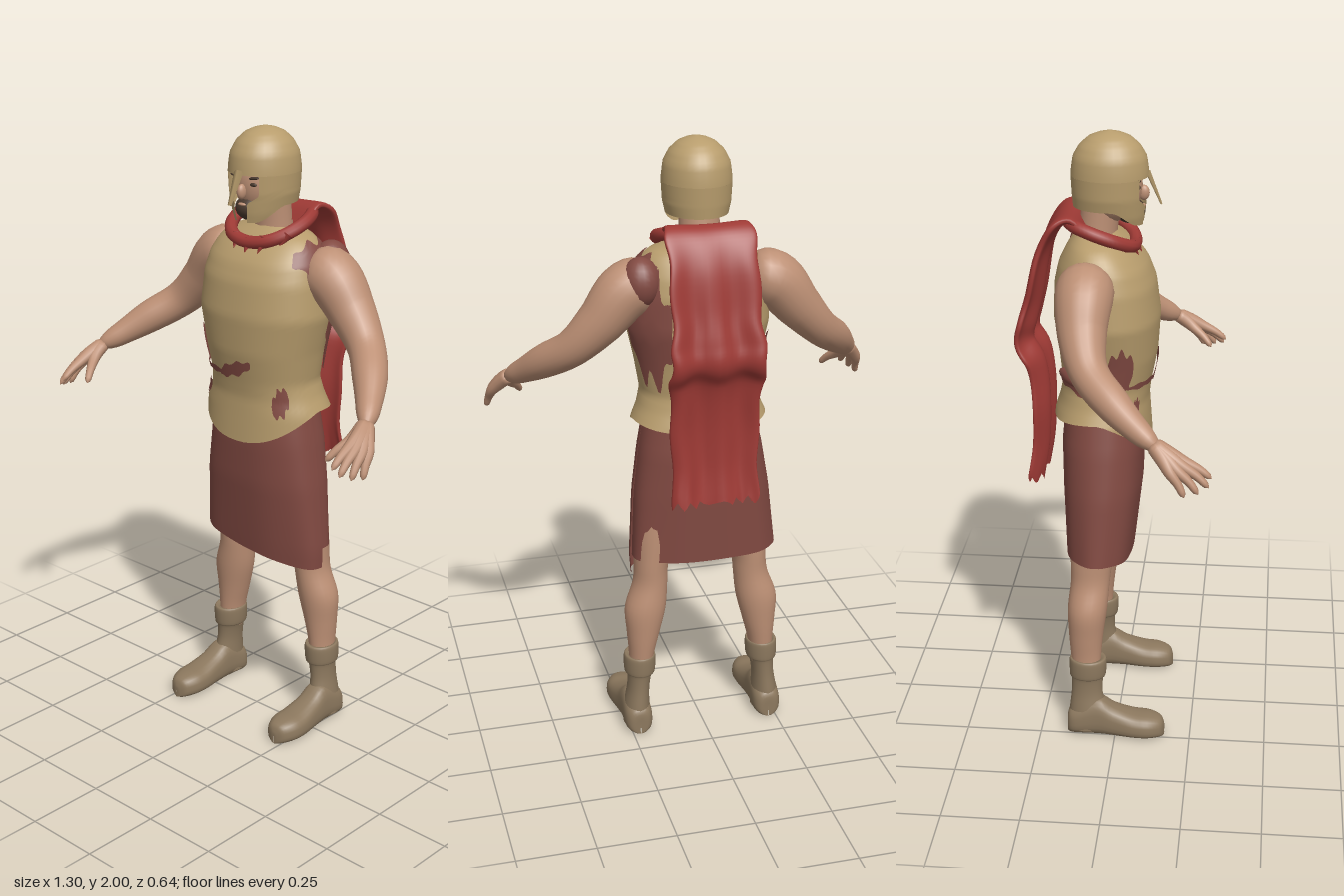
import * as THREE from 'three';

const material = (name, color, side = THREE.FrontSide) => {
  const m = new THREE.MeshStandardMaterial({ color, side });
  m.name = name;
  return m;
};
const armour = material('tan armour', 0xb89d6d, THREE.DoubleSide);
const skin = material('skin', 0xbd9075);
const cloth = material('brown red cloth', 0x824a42, THREE.DoubleSide);
const red = material('red cape', 0x9e3a35, THREE.DoubleSide);
const leather = material('boot leather', 0x8c785e);
const dark = material('dark hair', 0x4a3a2f);

const TAU = Math.PI * 2;
const mix = THREE.MathUtils.lerp, smooth = THREE.MathUtils.smoothstep;
const sPow = (v, p) => Math.sign(v) * Math.abs(v) ** p;

// Smooth interpolation through rows of numbers, t from 0 to 1
function spline(rows, t) {
  const n = rows.length - 1, f = Math.min(t, 1) * n, i = Math.min(Math.floor(f), n - 1), k = f - i;
  const p = (j) => rows[Math.max(0, Math.min(n, j))];
  return rows[0].map((_, c) => {
    const [a, b, d, e] = [p(i - 1)[c], p(i)[c], p(i + 1)[c], p(i + 2)[c]];
    return b + 0.5 * k * (d - a + k * (2 * a - 5 * b + 4 * d - e + k * (3 * (b - d) + e - a)));
  });
}

// Rows looked up by their first value (height), linear
function atHeight(rows, y) {
  let i = 0;
  while (i < rows.length - 2 && y > rows[i + 1][0]) i++;
  const k = THREE.MathUtils.clamp((y - rows[i][0]) / (rows[i + 1][0] - rows[i][0]), 0, 1);
  return rows[i].map((v, c) => mix(v, rows[i + 1][c], k));
}

// Surface from a rule (u, v) => [x, y, z]; u may wrap round
function loft(fn, nu, nv, closed = true) {
  const cols = closed ? nu : nu + 1, pos = [], idx = [];
  for (let j = 0; j <= nv; j++) for (let i = 0; i < cols; i++) pos.push(...fn(i / nu, j / nv));
  for (let j = 0; j < nv; j++) for (let i = 0; i < nu; i++) {
    const a = j * cols + i, b = j * cols + ((i + 1) % cols);
    idx.push(a, b, b + cols, a, b + cols, a + cols);
  }
  const g = new THREE.BufferGeometry();
  g.setAttribute('position', new THREE.Float32BufferAttribute(pos, 3));
  g.setIndex(idx);
  g.computeVertexNormals();
  return g;
}

// Upright stack of ellipses: [y, cx, cz, rx, rz] from bottom to top
const stack = (rows, s = 1, nv = 24) => loft((u, v) => {
  const [y, cx, cz, rx, rz] = spline(rows, v);
  return [s * cx + rx * Math.sin(u * TAU), y, cz + rz * Math.cos(u * TAU)];
}, 24, nv);

// Round-ended limb along points [x, y, z, r]
function limb(rows, s = 1, nu = 16, nv = 28) {
  const curve = new THREE.CatmullRomCurve3(rows.map(([x, y, z]) => new THREE.Vector3(s * x, y, z)));
  const { normals, binormals } = curve.computeFrenetFrames(nv);
  return loft((u, v) => {
    const j = Math.round(v * nv), p = curve.getPointAt(v);
    const end = 1 - Math.min(1, Math.min(v, 1 - v) * 9);
    const r = spline(rows, curve.getUtoTmapping(v))[3] * Math.sqrt(1 - end * end);
    p.addScaledVector(normals[j], r * Math.cos(u * TAU)).addScaledVector(binormals[j], r * Math.sin(u * TAU));
    return p.toArray();
  }, nu, nv);
}

// Cuirass: [y, half width, front z, back z]
const chest = [[1.0, 0.228, 0.1, -0.215], [1.1, 0.222, 0.093, -0.213], [1.15, 0.2, 0.09, -0.197],
  [1.2, 0.187, 0.097, -0.187], [1.3, 0.203, 0.116, -0.197], [1.42, 0.23, 0.124, -0.213], [1.53, 0.222, 0.109, -0.21],
  [1.59, 0.208, 0.085, -0.197], [1.63, 0.19, 0.052, -0.178], [1.66, 0.163, 0.02, -0.16], [1.69, 0.09, -0.015, -0.135]];
function chestPoint(a, y, off = 0) {
  const [, rx, zf, zb] = atHeight(chest, y), c = Math.cos(a);
  const cz = (zf + zb) / 2, rz = (zf - zb) / 2 + off;
  return [(rx + off) * sPow(Math.sin(a), 0.9), y, cz + rz * sPow(c, 0.9)];
}
const chestHem = (a) => {
  const c = Math.cos(a);
  return c > 0 ? 1.11 - 0.11 * c ** 1.5 : 1.11 - 0.02 * c * c;
};

// Ragged cloth patch lying on the cuirass
const patch = ([a0, a1, y, h, slant = 0]) => loft((u, v) => {
  const w = h * Math.sin(Math.PI * mix(0.04, 0.96, u)) ** 0.5 * (1 + 0.25 * Math.sin(u * 17 + a0 * 9));
  return chestPoint(mix(a0, a1, u), y + slant * (u - 0.5) + (v - 0.5) * w, 0.007);
}, 20, 8, false);

const helmet = [[1.7, 0.075, 0.105], [1.74, 0.092, 0.112], [1.8, 0.106, 0.118], [1.87, 0.11, 0.122],
  [1.92, 0.104, 0.115], [1.955, 0.086, 0.095], [1.98, 0.06, 0.067], [1.993, 0.032, 0.036], [2.0, 0, 0]];
const helmetPoint = (a, y) => {
  const [, rx, rz] = atHeight(helmet, y);
  return [rx * Math.sin(a), y, -0.037 + rz * Math.cos(a)];
};

export function createModel() {
  const model = new THREE.Group();
  const add = (name, geometry, mat, parent = model) => {
    const m = new THREE.Mesh(geometry, mat);
    m.name = name;
    parent.add(m);
    return m;
  };
  const ball = (name, mat, [x, y, z], [rx, ry, rz]) => {
    const m = add(name, new THREE.SphereGeometry(1, 20, 14), mat);
    m.position.set(x, y, z);
    m.scale.set(rx, ry, rz);
    return m;
  };

  // Head and face
  ball('head', skin, [0, 1.83, -0.03], [0.085, 0.115, 0.095]);
  add('neck', stack([[1.6, 0, -0.075, 0.075, 0.07], [1.68, 0, -0.075, 0.066, 0.062], [1.8, 0, -0.06, 0.062, 0.062]]), skin);
  ball('beard', dark, [0, 1.752, 0.025], [0.052, 0.04, 0.048]);
  ball('mouth', skin, [0, 1.768, 0.066], [0.016, 0.005, 0.008]);
  ball('nose', skin, [0, 1.808, 0.068], [0.013, 0.024, 0.018]);
  for (const s of [-1, 1]) {
    ball('eye', dark, [s * 0.036, 1.832, 0.055], [0.015, 0.006, 0.006]);
    ball('eyebrow', dark, [s * 0.038, 1.852, 0.054], [0.022, 0.005, 0.008]).rotation.z = s * 0.15;
  }

  // Helmet: dome, cheek and neck guard, nose guard
  add('helmetDome', loft((u, v) => helmetPoint(u * TAU, mix(1.862, 2, 1 - (1 - v) ** 2)), 32, 16), armour);
  add('helmetGuard', loft((u, v) => {
    const gap = mix(0.64, 0.27, smooth(1 - v, 0.4, 0.62));
    const a = mix(gap, TAU - gap, u);
    const low = 1.765 - 0.052 * smooth(Math.cos(a), 0.1, 0.9);
    return helmetPoint(a, mix(low, 1.862, v));
  }, 44, 16, false), armour);
  const guard = add('noseGuard', new THREE.CylinderGeometry(0.02, 0.008, 0.11, 4), armour);
  guard.scale.z = 0.4;
  guard.position.set(0, 1.824, 0.101);
  guard.rotation.x = -0.4;

  // Cuirass and the cloth showing through it
  add('cuirass', loft((u, v) => chestPoint(u * TAU, mix(chestHem(u * TAU), 1.69, v)), 56, 44), armour);
  [[1.75, 2.65, 1.42, 0.34], [0.95, 2.3, 1.61, 0.09], [-2.75, -1.05, 1.235, 0.07], [-1.5, -1.0, 1.29, 0.13],
    [-1.1, -0.1, 1.225, 0.02], [-0.28, 0.32, 1.245, 0.045, 0.05], [0.62, 0.98, 1.15, 0.08, 0.05],
    [-0.88, -0.68, 1.15, 0.06], [-2.3, -1.7, 1.34, 0.08]].forEach((p) => add('clothPatch', patch(p), cloth));
  ball('tornSleeve', cloth, [0.2, 1.575, -0.125], [0.062, 0.08, 0.066]);
  add('sash', limb([[-1.2, 1.235, 0.01], [-1.6, 1.24, 0.02], [-2.1, 1.25, 0.024], [-2.7, 1.25, 0.015]].map(
    ([a, y, r]) => [...chestPoint(a, y, 0.006), r])), cloth);

  // Wrapped skirt with a slit on the left side
  const skirtRows = [[0.55, 0.24, 0.035, -0.173], [0.63, 0.243, 0.045, -0.177], [0.85, 0.226, 0.07, -0.187],
    [1.0, 0.204, 0.076, -0.19], [1.16, 0.172, 0.07, -0.175]];
  add('skirt', loft((u, v) => {
    const a = Math.PI / 2 + u * TAU, front = u > 0.5;
    const hem = front ? 0.597 - 0.137 * 0.24 * Math.sin(a) : 0.63;
    const y = mix(hem, 1.16, v), [, rx, zf, zb] = atHeight(skirtRows, y);
    const fold = 1 + 0.014 * (1 - v) * Math.sin(a * 7) + (front ? 0.02 * (1 - v) * smooth(u, 0.9, 1) : 0);
    return [-0.012 * (1 - v) + rx * fold * sPow(Math.sin(a), 0.85), y,
      (zf + zb) / 2 + ((zf - zb) / 2) * fold * sPow(Math.cos(a), 0.85)];
  }, 72, 20, false), cloth);

  // Limbs, mirrored
  for (const s of [-1, 1]) {
    const side = s > 0 ? 'left' : 'right';
    add(side + 'Arm', limb([[0.14, 1.57, -0.09, 0.085], [0.235, 1.545, -0.093, 0.09], [0.32, 1.45, -0.09, 0.075],
      [0.4, 1.365, -0.062, 0.06], [0.48, 1.3, 0.015, 0.054], [0.545, 1.24, 0.1, 0.038], [0.585, 1.205, 0.16, 0.03]], s, 20, 36), skin);
    const hand = new THREE.Group();
    hand.name = side + 'Hand';
    model.add(hand);
    [[0.588, 1.17, 0.235, 0.59, 1.12, 0.317], [0.604, 1.162, 0.232, 0.612, 1.1, 0.31],
      [0.618, 1.154, 0.217, 0.632, 1.087, 0.28], [0.626, 1.15, 0.197, 0.643, 1.08, 0.24],
      [0.56, 1.17, 0.205, 0.522, 1.115, 0.268]].forEach(([x, y, z, tx, ty, tz], i) => add(i < 4 ? 'finger' : 'thumb',
      limb([[0.572, 1.218, 0.14, 0.024], [mix(0.582, x, 0.5), mix(1.21, y, 0.5), mix(0.155, z, 0.5), 0.023], [x, y, z, 0.018],
        [mix(x, tx, 0.55), mix(y, ty, 0.45), mix(z, tz, 0.55), 0.013], [tx, ty, tz, 0.01]], s, 10, 20), skin, hand));

    add(side + 'Leg', stack([[0.2, 0.212, -0.097, 0.038, 0.045], [0.28, 0.207, -0.1, 0.042, 0.05], [0.36, 0.2, -0.1, 0.055, 0.057],
      [0.45, 0.191, -0.096, 0.068, 0.065], [0.54, 0.172, -0.088, 0.057, 0.064], [0.62, 0.165, -0.083, 0.058, 0.07],
      [0.75, 0.14, -0.07, 0.08, 0.085], [0.95, 0.1, -0.06, 0.09, 0.09]], s, 32), skin);
    add(side + 'BootShaft', stack([[0.02, 0.225, -0.098, 0.046, 0.06], [0.08, 0.225, -0.093, 0.043, 0.062],
      [0.15, 0.219, -0.096, 0.037, 0.052], [0.205, 0.214, -0.095, 0.041, 0.053], [0.215, 0.213, -0.094, 0.051, 0.06],
      [0.265, 0.212, -0.093, 0.053, 0.062], [0.277, 0.211, -0.094, 0.047, 0.056], [0.268, 0.208, -0.098, 0.035, 0.04]], s, 35), leather);
    // Foot sections: [z, centre x, half width, height]
    const foot = [[-0.16, 0.225, 0.002, 0.04], [-0.157, 0.225, 0.03, 0.08], [-0.13, 0.225, 0.046, 0.1], [-0.06, 0.226, 0.047, 0.135],
      [-0.005, 0.228, 0.05, 0.105], [0.06, 0.229, 0.058, 0.083], [0.11, 0.229, 0.057, 0.078], [0.15, 0.228, 0.038, 0.066],
      [0.163, 0.228, 0.015, 0.045], [0.165, 0.228, 0.001, 0.03]];
    add(side + 'BootFoot', loft((u, v) => {
      const [z, cx, w, h] = spline(foot, v), a = u * TAU, sn = Math.sin(a);
      return [s * cx + w * sPow(Math.cos(a), 0.75), h * 0.4 + sPow(sn, 0.75) * h * (sn > 0 ? 0.6 : 0.4), z];
    }, 24, 36), leather);
  }

  // Cape: [y, z, half width] from the collar down
  const capeRows = [[1.69, -0.11, 0.12], [1.735, -0.15, 0.135], [1.715, -0.195, 0.14], [1.63, -0.236, 0.14], [1.5, -0.262, 0.14],
    [1.41, -0.285, 0.146], [1.345, -0.295, 0.15], [1.275, -0.258, 0.148], [1.15, -0.243, 0.14], [1.0, -0.247, 0.138], [0.88, -0.266, 0.138]];
  add('cape', loft((u, v) => {
    const [y, z, w] = spline(capeRows, v), e = 0.005;
    const p = spline(capeRows, Math.max(0, v - e)), q = spline(capeRows, Math.min(1, v + e));
    const dy = q[0] - p[0], dz = q[1] - p[1], len = Math.hypot(dy, dz);
    const a = u * TAU, c = sPow(Math.cos(a), 0.8);
    const t = -0.016 * sPow(Math.sin(a), 0.6) + 0.011 * Math.sin(c * 7 + v * 3) * smooth(v, 0.15, 0.5) + 0.012 * c * c;
    const rag = 0.014 * Math.sin(c * 23) * v ** 12;
    return [w * c * (1 + 0.03 * Math.sin(v * 40)), y - (dz / len) * t + rag, z + (dy / len) * t];
  }, 64, 60), red);

  // Scarf ring with hanging tatters
  const ring = new THREE.CatmullRomCurve3([[0, 1.645, 0.042], [0.075, 1.658, 0.03], [0.122, 1.685, -0.02], [0.13, 1.712, -0.09],
    [0.1, 1.728, -0.145], [0, 1.73, -0.165], [-0.1, 1.728, -0.145], [-0.13, 1.712, -0.09], [-0.122, 1.685, -0.02],
    [-0.075, 1.658, 0.03]].map((p) => new THREE.Vector3(...p)), true);
  add('scarf', new THREE.TubeGeometry(ring, 64, 0.021, 10, true), red);
  [[-0.1, 1.655, 0.015], [-0.05, 1.64, 0.045], [0.005, 1.63, 0.052], [0.06, 1.642, 0.045], [0.115, 1.66, 0.005]].forEach(([x, y, z], i) => {
    const m = add('scarfTatter', new THREE.ConeGeometry(0.018, 0.055, 8), red);
    m.position.set(x, y, z);
    m.rotation.set(Math.PI - 0.5, 0, (i - 2) * 0.2);
  });
  return model;
}
